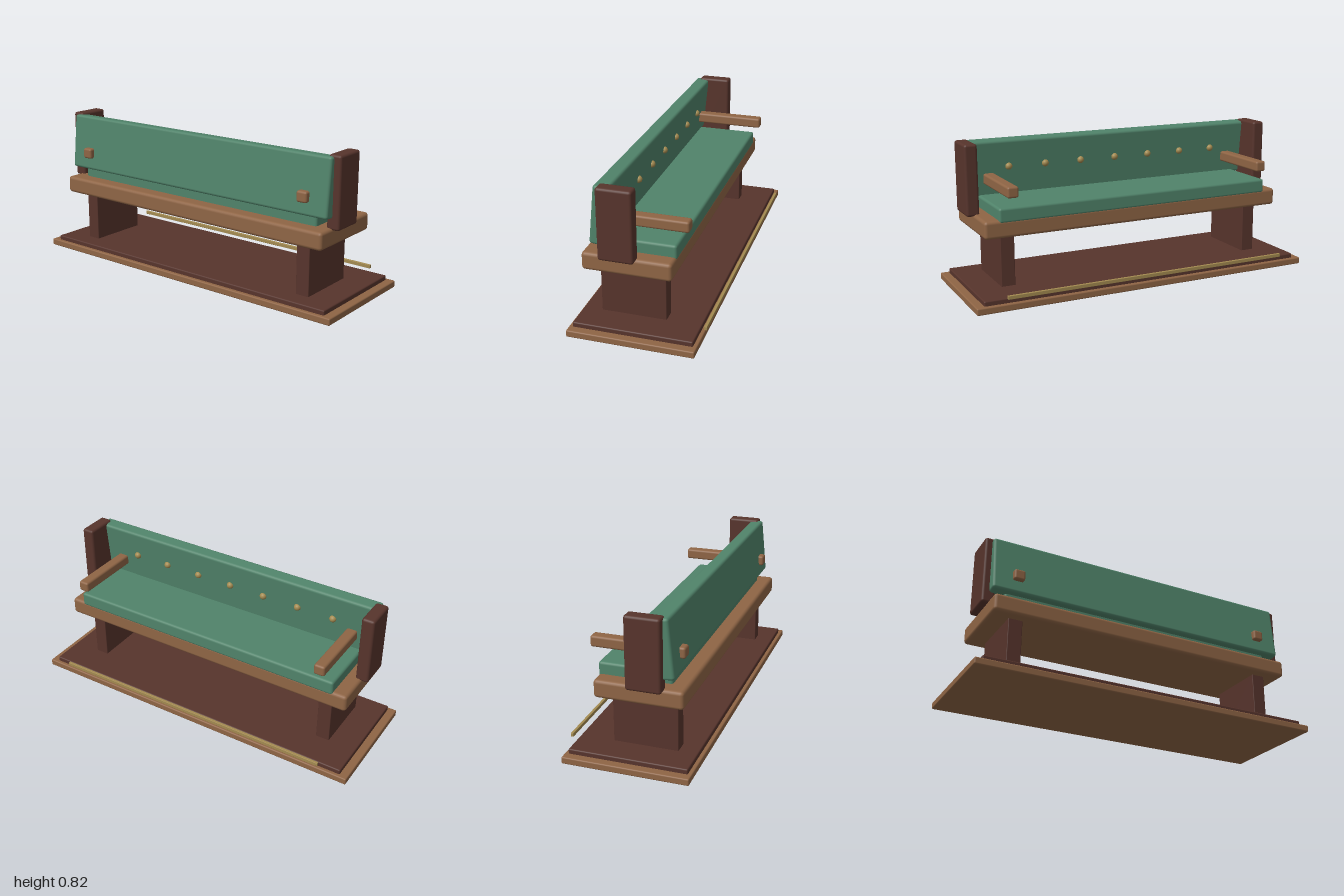
import * as THREE from 'three';
import { RoundedBoxGeometry } from 'three/addons/geometries/RoundedBoxGeometry.js';

const material = (name, color) => {
  const m = new THREE.MeshStandardMaterial({ color });
  m.name = name;
  return m;
};

export function createModel() {
  const model = new THREE.Group();
  model.name = 'bench';

  const wood = material('wood', 0x8f6545);
  const darkWood = material('dark wood', 0x57342c);
  const fabric = material('green upholstery', 0x50836a);
  const brass = material('brass', 0xa38a50);

  // Softly bevelled box given by its extents on each axis
  const block = (name, mat, [x0, x1], [y0, y1], [z0, z1], bevel) => {
    const geometry = new RoundedBoxGeometry(x1 - x0, y1 - y0, z1 - z0, 2, bevel);
    const mesh = new THREE.Mesh(geometry, mat);
    mesh.name = name;
    mesh.position.set((x0 + x1) / 2, (y0 + y1) / 2, (z0 + z1) / 2);
    model.add(mesh);
    return mesh;
  };

  // Stepped base
  block('base', wood, [-1, 1], [0, 0.038], [-0.328, 0.347], 0.007);
  block('plinth', darkWood, [-0.955, 0.955], [0.03, 0.064], [-0.308, 0.327], 0.007);

  // Seat
  block('seatFrame', wood, [-0.9, 0.9], [0.345, 0.442], [-0.184, 0.287], 0.018);
  block('seatCushion', fabric, [-0.82, 0.82], [0.425, 0.506], [-0.186, 0.206], 0.014);

  // Paired parts
  for (const [side, s] of [['left', 1], ['right', -1]]) {
    const span = (a, b) => (s > 0 ? [a, b] : [-b, -a]);
    block(side + 'Leg', darkWood, span(0.72, 0.798), [0.055, 0.355], [-0.123, 0.226], 0.004);
    block(side + 'EndPost', darkWood, span(0.864, 0.936), [0.43, 0.817], [-0.001, 0.185], 0.014);
    block(side + 'Armrest', wood, span(0.728, 0.79), [0.566, 0.626], [-0.24, 0.26], 0.012);
  }

  // Leaning backrest
  const thickness = 0.08;
  const backrest = new THREE.Group();
  backrest.name = 'backrest';
  backrest.position.set(0, 0.65, 0.186);
  backrest.rotation.x = -0.1;
  model.add(backrest);
  const pad = new THREE.Mesh(new RoundedBoxGeometry(1.796, 0.316, thickness, 2, 0.015), fabric);
  pad.name = 'backrestPad';
  backrest.add(pad);

  // Row of buttons on the seat side of the pad
  const buttonGeometry = new THREE.SphereGeometry(0.02, 16, 12);
  for (let i = -3; i <= 3; i++) {
    const button = new THREE.Mesh(buttonGeometry, brass);
    button.name = 'button';
    button.position.set(i * 0.215, 0.01, -thickness / 2);
    backrest.add(button);
  }

  // Thin rail beside the base
  block('footRail', brass, [-0.84, 0.84], [0.068, 0.088], [-0.347, -0.332], 0.002);

  return model;
}
